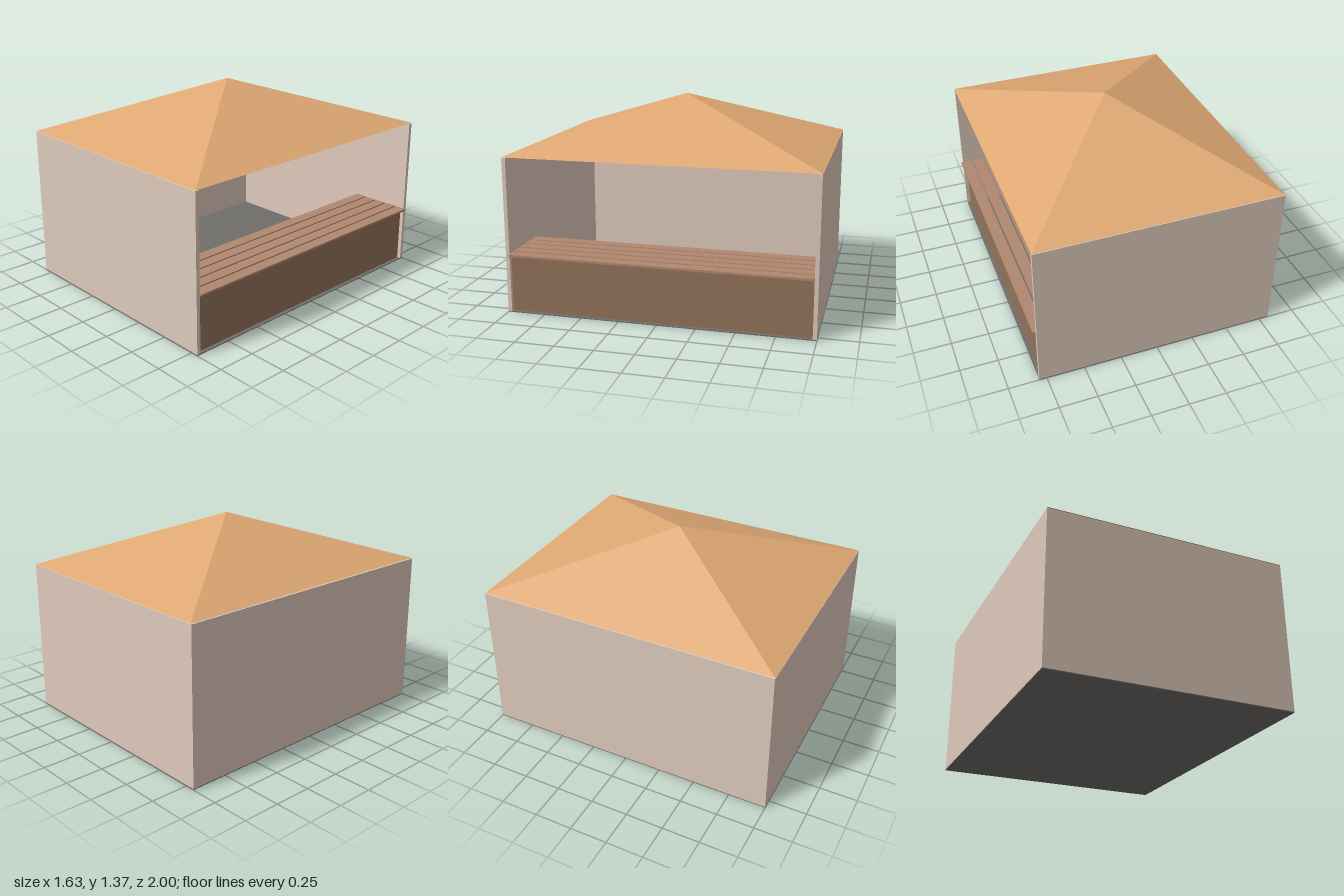
import * as THREE from 'three';

const mat = (color, extra = {}) => {
  const m = new THREE.MeshStandardMaterial({ flatShading: true, ...extra });
  m.color.set(color);
  return m;
};

// Box given by its minimum and maximum corners
function slab(name, material, [x0, y0, z0], [x1, y1, z1]) {
  const mesh = new THREE.Mesh(new THREE.BoxGeometry(x1 - x0, y1 - y0, z1 - z0), material);
  mesh.position.set((x0 + x1) / 2, (y0 + y1) / 2, (z0 + z1) / 2);
  mesh.name = name;
  return mesh;
}

export function createModel() {
  const model = new THREE.Group();
  model.name = 'kiosk';
  const wall = mat(0xdec9bb), wood = mat(0xb0876f), panel = mat(0x92725a), ground = mat(0x706d69);
  const roofMat = mat(0xdfa873, { side: THREE.DoubleSide });
  const L = -0.815, R = 0.8, T = 0.025, H = 1.02;

  // Floor and the three solid walls; the +x side is open
  model.add(slab('floor', ground, [L, 0, -1], [R, 0.006, 1]));
  model.add(slab('frontWall', wall, [-0.803, 0.006, 1 - T], [R, H, 1]));
  model.add(slab('rearWall', wall, [-0.803, 0.006, -1], [R, H, -1 + T]));
  model.add(slab('longWall', wall, [L, 0.006, -1], [-0.803, H, 1]));

  // Panel under the serving counter
  model.add(slab('counterPanel', panel, [0.76, 0.006, -0.975], [0.775, 0.375, 0.975]));

  // Counter of parallel slats
  const counter = new THREE.Group();
  counter.name = 'counter';
  const count = 5, start = 0.38, gap = 0.012;
  const width = (0.815 - start - gap * (count - 1)) / count;
  for (let i = 0; i < count; i++) {
    const x = start + i * (width + gap);
    counter.add(slab('counterSlat', wood, [x, 0.38, -0.975], [x + width, 0.394, 0.975]));
  }
  model.add(counter);

  // Hollow four-sided roof, open underneath
  const roofGeo = new THREE.ConeGeometry(Math.SQRT2, 0.34, 4, 1, true);
  roofGeo.rotateY(Math.PI / 4);
  roofGeo.scale(0.806, 1, 1);
  const roof = new THREE.Mesh(roofGeo, roofMat);
  roof.position.set(-0.005, 1.025 + 0.17, 0);
  roof.name = 'roof';
  model.add(roof);

  return model;
}
